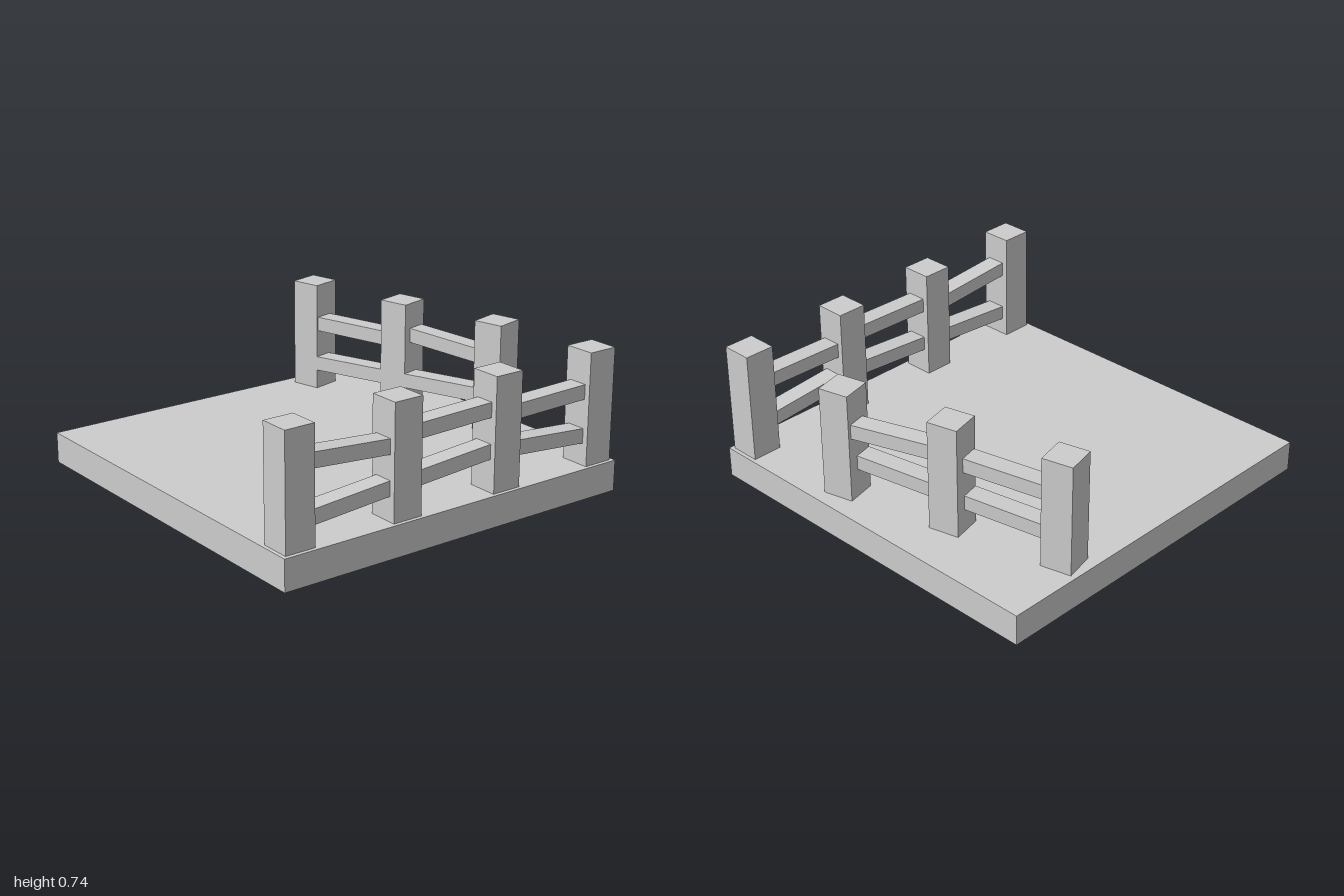
import * as THREE from 'three';

const POST = 0.16, BASE_H = 0.16, TOP = 0.74, GAP = 0.6;

export function createModel() {
  const model = new THREE.Group();
  model.name = 'fencedPlot';
  const grey = new THREE.MeshStandardMaterial({ color: 0xcccccc });
  grey.name = 'plainGrey';

  function box(parent, name, w, h, d, x, y, z) {
    const mesh = new THREE.Mesh(new THREE.BoxGeometry(w, h, d), grey);
    mesh.name = name;
    mesh.position.set(x, y, z);
    parent.add(mesh);
    return mesh;
  }

  // Fence along local +x; each rail is [span, start height, end height, sideways shift]
  function fence(name, posts, rails) {
    const group = new THREE.Group();
    group.name = name;
    for (let i = 0; i < posts; i++) {
      box(group, 'post', POST, TOP - BASE_H, POST, i * GAP, (TOP + BASE_H) / 2, 0);
    }
    for (const [span, y0, y1, shift] of rails) {
      const run = GAP - POST;
      const rail = box(group, 'rail', run + 0.04, 0.076, 0.1, (span + 0.5) * GAP, (y0 + y1) / 2, shift);
      rail.rotation.z = Math.atan2(y1 - y0, run);
    }
    model.add(group);
    return group;
  }

  // Ground slab
  box(model, 'groundSlab', 2, BASE_H, 2, 0, BASE_H / 2, 0);

  // Straight fence along the front edge
  const front = fence('frontFence', 4, [
    [0, 0.557, 0.523, 0], [0, 0.289, 0.322, 0],
    [1, 0.56, 0.57, 0], [1, 0.332, 0.363, 0],
    [2, 0.528, 0.536, 0], [2, 0.347, 0.311, 0],
  ]);
  front.position.set(-0.9, 0, 0.9);

  // Slanted fence on the left side, running from back to front
  const side = fence('sideFence', 3, [
    [0, 0.523, 0.53, 0.02], [0, 0.301, 0.32, 0.03],
    [1, 0.567, 0.54, -0.012], [1, 0.327, 0.347, 0.03],
  ]);
  side.position.set(0.555, 0, -0.875);
  side.rotation.y = -1.335;

  return model;
}
